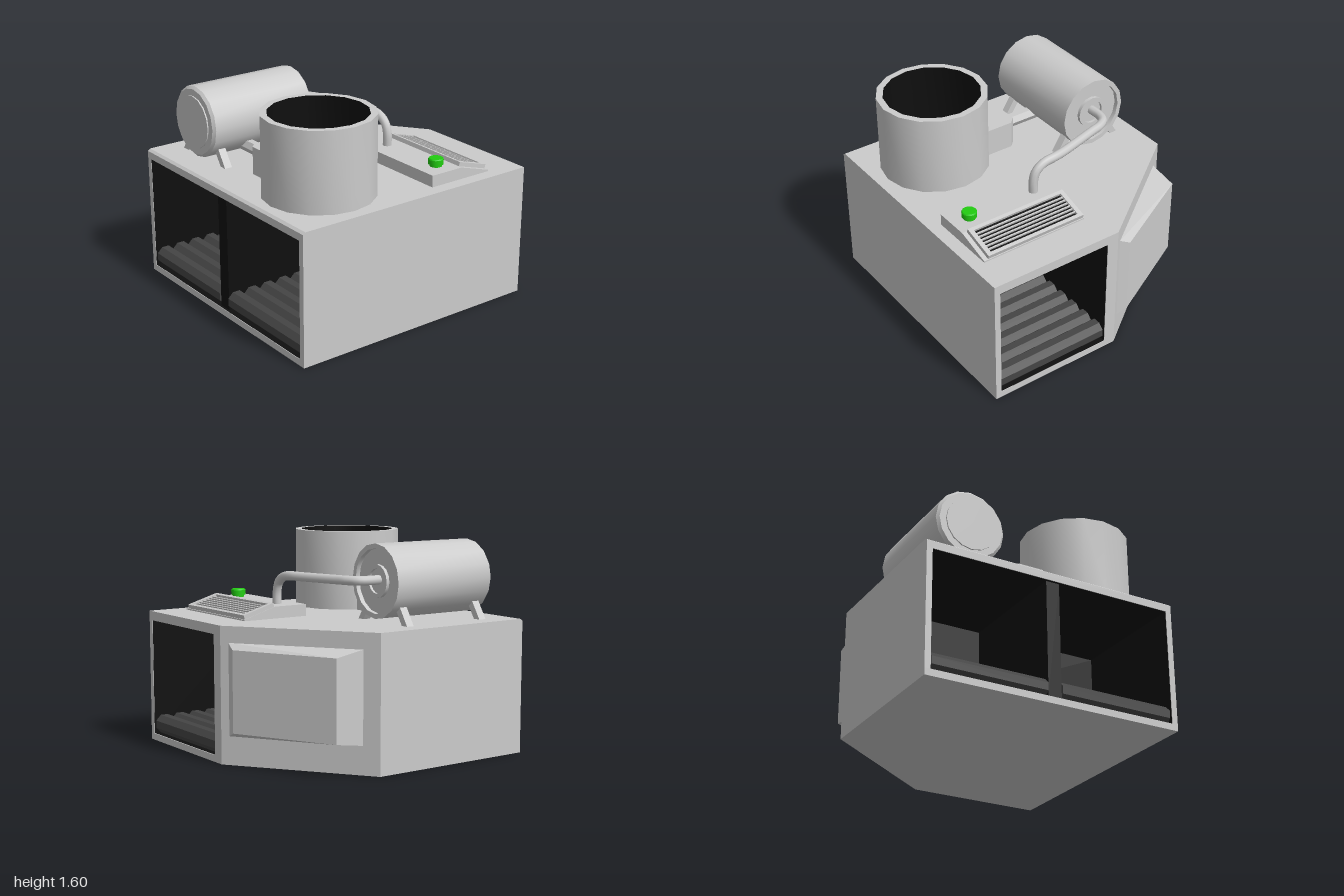
import * as THREE from 'three';
import { toCreasedNormals } from 'three/addons/utils/BufferGeometryUtils.js';
import { ConvexGeometry } from 'three/addons/geometries/ConvexGeometry.js';

const grey = new THREE.MeshStandardMaterial({ color: 0xcccccc });
const black = new THREE.MeshStandardMaterial({ color: 0x0f0f0f });
const dark = new THREE.MeshStandardMaterial({ color: 0x454545, flatShading: true });
const green = new THREE.MeshStandardMaterial({ color: 0x22cc11 });

export function createModel() {
  const root = new THREE.Group();

  const add = (name, geo, mat = grey, parent = root) => {
    const mesh = new THREE.Mesh(geo, mat);
    mesh.name = name;
    parent.add(mesh);
    return mesh;
  };
  const shapeOf = pts => new THREE.Shape(pts.map(p => new THREE.Vector2(p[0], p[1])));
  const extrude = (shape, depth) => new THREE.ExtrudeGeometry(shape, { depth, bevelEnabled: false });
  // Plan outline [x, z] raised from y0 to y1
  const plan = (pts, y0, y1) =>
    extrude(shapeOf(pts.map(([x, z]) => [x, -z])), y1 - y0).rotateX(-Math.PI / 2).translate(0, y0, 0);
  // Side outline [z, y] swept from x0 to x1
  const sweepX = (pts, x0, x1) =>
    extrude(shapeOf(pts), x1 - x0).rotateY(-Math.PI / 2).translate(x1, 0, 0);
  const box = (x0, x1, y0, y1, z0, z1) =>
    new THREE.BoxGeometry(x1 - x0, y1 - y0, z1 - z0)
      .translate((x0 + x1) / 2, (y0 + y1) / 2, (z0 + z1) / 2);
  const lathe = (pts, n) =>
    toCreasedNormals(new THREE.LatheGeometry(pts.map(p => new THREE.Vector2(p[0], p[1])), n), 0.6);

  // Housing: floor, notched walls, roof and chamfered front lip
  const corner = [[1, -1], [-0.05, -1], [-1, -0.3]];
  add('housingFloor', plan([[-1, 1], [1, 1], ...corner], 0, 0.05));
  add('housingWalls', plan([
    [-1, 1], [-0.955, 1], [-0.955, 0.02], [0.955, 0.02], [0.955, 1], [1, 1], [1, -1],
    [0.955, -1], [0.955, -0.02], [0.04, -0.02], [0.04, -1], [-0.05, -1], [-1, -0.3],
  ], 0.05, 0.93));
  add('housingRoof', plan([[-1, 0.98], [1, 0.98], ...corner], 0.93, 1));
  add('frontLip', sweepX([[0.98, 0.93], [1, 0.93], [1, 0.985], [0.98, 1]], -1, 1));

  // Dark open-ended lining of the front and back bays
  const lining = (name, x0, x1, z0, z1, openFace) => {
    const geo = new THREE.BoxGeometry(x1 - x0, 0.874, z1 - z0);
    geo.setIndex(Array.from(geo.index.array).filter((_, i) => Math.floor(i / 6) !== openFace));
    geo.clearGroups();
    geo.scale(-1, 1, 1).computeVertexNormals();
    add(name, geo.translate((x0 + x1) / 2, 0.49, (z0 + z1) / 2), black);
  };
  lining('frontBayLining', -0.952, 0.952, 0.023, 0.999, 4);
  lining('backBayLining', 0.043, 0.952, -0.999, -0.023, 5);
  add('bayDivider', box(-0.055, 0.05, 0.05, 0.928, 0.02, 0.98), black);

  // Conveyor rollers
  const roller = (x0, x1, z) => {
    const geo = new THREE.CylinderGeometry(0.075, 0.075, x1 - x0, 8);
    geo.rotateY(Math.PI / 8).rotateZ(Math.PI / 2).translate((x0 + x1) / 2, 0.122, z);
    add('roller', geo, dark);
  };
  for (let i = 0; i < 7; i++) {
    const z = 0.92 - i * 0.137;
    roller(-0.945, -0.06, z);
    roller(0.055, 0.945, z);
    roller(0.05, 0.945, -z);
  }

  // Tapered hood on the diagonal wall
  const hood = [];
  for (const [x, z, y0, y1] of [
    [-0.1, -0.963, 0.21, 0.88], [-0.9, -0.374, 0.21, 0.88],
    [-0.18, -0.98, 0.245, 0.84], [-0.9, -0.6, 0.245, 0.84],
  ]) hood.push(new THREE.Vector3(x, y0, z), new THREE.Vector3(x, y1, z));
  add('sideHood', new ConvexGeometry(hood));

  // Chimney with dark bore
  add('chimney', lathe([[0.41, 1], [0.41, 1.6], [0.36, 1.6]], 16).translate(0.5, 0, 0.5));
  add('chimneyBore', lathe([[0.36, 1.6], [0.36, 1.01], [0, 1.01]], 16).translate(0.5, 0, 0.5), black);

  // Junction box and hexagonal link to the tank
  add('junctionBox', plan([[-0.13, 0.38], [-0.08, 0.33], [0.2, 0.33], [0.2, 0.66],
    [-0.08, 0.66], [-0.13, 0.61]], 1, 1.21));
  add('linkPipe', toCreasedNormals(new THREE.CylinderGeometry(0.05, 0.05, 0.38, 6), 0.3)
    .rotateZ(Math.PI / 2).translate(-0.3, 1.103, 0.5));

  // Tank lying along z, with raised front cap and recessed back
  const tank = new THREE.Group();
  tank.name = 'tank';
  tank.position.set(-0.575, 1.3, 0);
  root.add(tank);
  add('tankShell', lathe([
    [0, 0], [0.09, 0], [0.09, -0.02], [0.12, -0.02], [0.12, 0.005], [0.235, 0.005], [0.235, -0.03],
    [0.27, -0.03], [0.27, 0.82], [0.25, 0.84], [0.2, 0.84], [0.2, 0.85], [0.195, 0.85], [0, 0.85],
  ], 16).rotateX(Math.PI / 2), grey, tank);

  // Splayed tank legs
  for (const side of [-1, 1])
    for (const z of [0.035, 0.705]) {
      const pts = [[0.285, -0.3], [0.225, -0.3], [0.135, -0.16], [0.195, -0.16]]
        .map(([x, y]) => [x * side, y]);
      add('tankLeg', extrude(shapeOf(pts), 0.06).translate(0, 0, z), grey, tank);
    }

  // Bent pipe from the tank to the console
  const path = new THREE.CatmullRomCurve3([
    [-0.58, 1.31, 0.01], [-0.58, 1.31, -0.1], [-0.555, 1.31, -0.17], [-0.49, 1.31, -0.215],
    [-0.4, 1.31, -0.24], [-0.06, 1.31, -0.335], [0.02, 1.31, -0.35], [0.12, 1.295, -0.35],
    [0.185, 1.25, -0.35], [0.21, 1.18, -0.35], [0.21, 1.07, -0.35],
  ].map(p => new THREE.Vector3(...p)));
  add('bentPipe', new THREE.TubeGeometry(path, 48, 0.034, 10));

  // Control console with sloped back
  add('console', sweepX([[-0.2, 1], [-0.2, 1.088], [-0.47, 1.088], [-0.735, 1.01], [-0.735, 1]],
    0.05, 0.9));

  // Vent frame, backing and slats, tilted with the slope
  const vent = new THREE.Group();
  vent.name = 'vent';
  vent.position.set(0.46, 1.055, -0.605);
  vent.rotation.x = -0.285;
  root.add(vent);
  const rect = (w, d) => [[-w, -d], [w, -d], [w, d], [-w, d]];
  const frame = shapeOf(rect(0.405, 0.132));
  frame.holes.push(new THREE.Path(rect(0.37, 0.105).map(p => new THREE.Vector2(...p))));
  add('ventFrame', extrude(frame, 0.035).rotateX(-Math.PI / 2).translate(0, -0.01, 0), grey, vent);
  add('ventBacking', box(-0.375, 0.375, -0.01, 0.005, -0.11, 0.11), black, vent);
  for (let i = 0; i < 6; i++) {
    const z = -0.075 + i * 0.03;
    add('ventSlat', box(-0.372, 0.372, 0, 0.02, z - 0.005, z + 0.005), grey, vent);
  }

  // Push button
  add('button', lathe([[0.045, 1.085], [0.045, 1.105], [0.056, 1.105], [0.056, 1.142],
    [0.05, 1.15], [0, 1.15]], 16).translate(0.76, 0, -0.35), green);

  return root;
}
